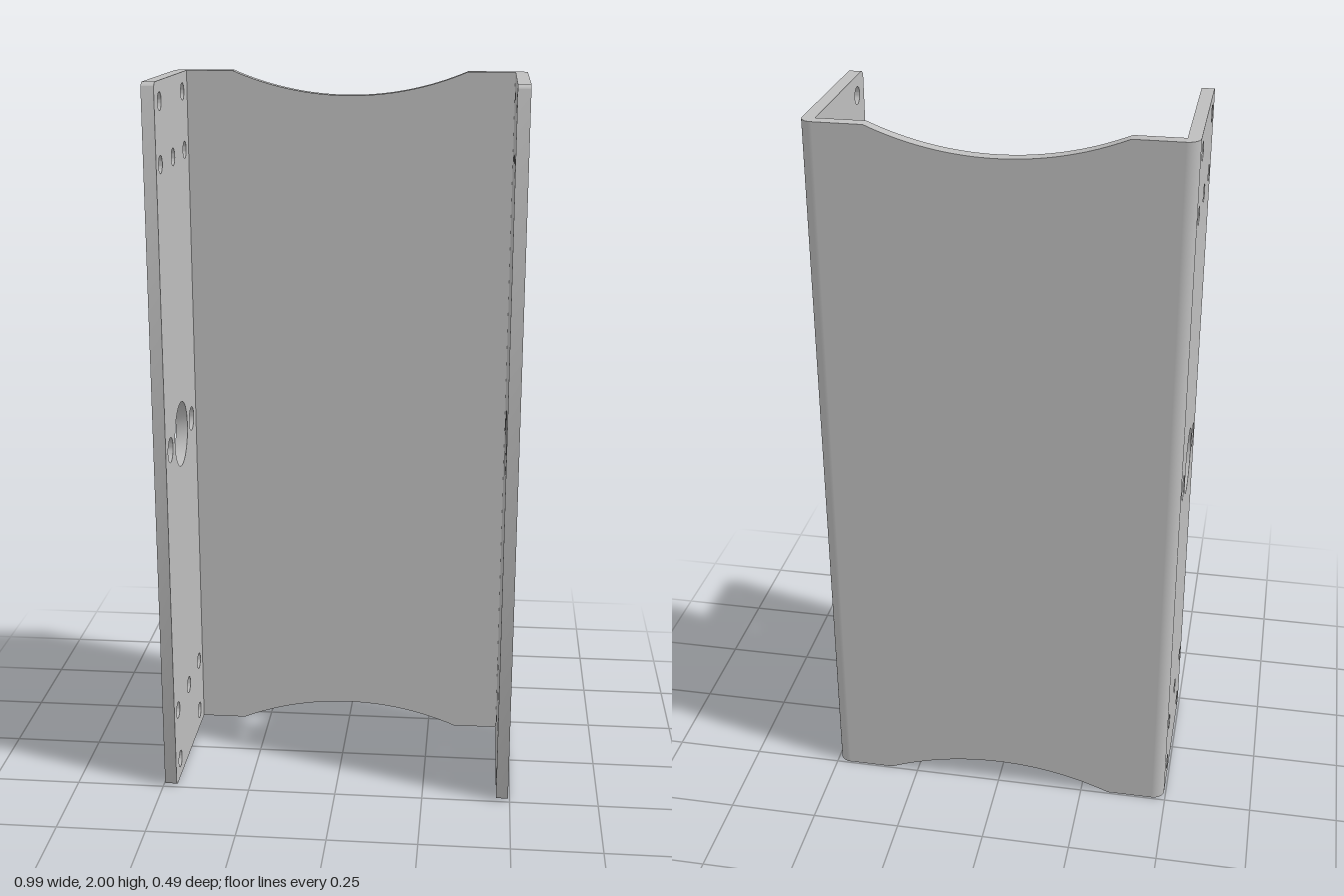
import * as THREE from 'three';
import { toCreasedNormals } from 'three/addons/utils/BufferGeometryUtils.js';

const W = 0.495;  // half width
const D = 0.245;  // half depth
const H = 2;      // height
const T = 0.034;  // sheet thickness

function extrude(shape) {
  const geo = new THREE.ExtrudeGeometry(shape, { depth: T, bevelEnabled: false, curveSegments: 16 });
  return toCreasedNormals(geo, 0.6);
}

// Back web with a shallow arc cut out of the top and bottom edges
function webGeometry() {
  const x = W - T, half = 0.33, sag = 0.067;
  const R = (half * half + sag * sag) / (2 * sag);
  const a = Math.asin(half / R);
  const s = new THREE.Shape();
  s.moveTo(-x, 0);
  s.lineTo(-half, 0);
  s.absarc(0, sag - R, R, Math.PI / 2 + a, Math.PI / 2 - a, true);
  s.lineTo(x, 0);
  s.lineTo(x, H);
  s.lineTo(half, H);
  s.absarc(0, H - sag + R, R, -Math.PI / 2 + a, -Math.PI / 2 - a, true);
  s.lineTo(-x, H);
  s.closePath();
  return extrude(s).translate(0, 0, -D);
}

// Side flange outline in (z, y), with rounded front corners and drilled holes
function flangeGeometry() {
  const r = 0.02, back = -D + T, c = 0.019;
  const s = new THREE.Shape();
  s.moveTo(back, 0);
  s.lineTo(D - r, 0);
  s.absarc(D - r, r, r, -Math.PI / 2, 0, false);
  s.lineTo(D, H - r);
  s.absarc(D - r, H - r, r, 0, Math.PI / 2, false);
  s.lineTo(back, H);
  s.closePath();

  const hole = (z, y, radius) => {
    const p = new THREE.Path();
    p.absarc(z, y, radius, 0, Math.PI * 2, true);
    s.holes.push(p);
  };
  // Central bore with a bolt hole on each side
  hole(c, 1, 0.093);
  for (const dz of [-0.159, 0.159]) hole(c + dz, 1, 0.035);
  // Mounting holes, mirrored top and bottom
  for (const m of [-1, 1]) {
    for (const dz of [-0.159, 0.159]) hole(c + dz, 1 + m * 0.947, 0.024);
    for (const dz of [-0.17, 0, 0.17]) hole(c + dz, 1 + m * 0.785, 0.024);
  }
  return extrude(s).rotateY(-Math.PI / 2);
}

export function createModel() {
  const group = new THREE.Group();
  group.name = 'channelBracket';
  const steel = new THREE.MeshStandardMaterial({ color: 0xbebebe });
  steel.name = 'grey steel';

  const add = (name, geo) => {
    const mesh = new THREE.Mesh(geo, steel);
    mesh.name = name;
    group.add(mesh);
    return mesh;
  };

  add('backWeb', webGeometry());

  const flange = flangeGeometry();
  add('leftFlange', flange).position.x = W;
  add('rightFlange', flange).position.x = -W + T;

  // Rounded bends joining the web to the flanges
  for (const side of [1, -1]) {
    const start = side > 0 ? Math.PI / 2 : Math.PI;
    const bend = new THREE.CylinderGeometry(T, T, H, 10, 1, false, start, Math.PI / 2);
    add(side > 0 ? 'leftBend' : 'rightBend', bend).position.set(side * (W - T), H / 2, -D + T);
  }
  return group;
}
